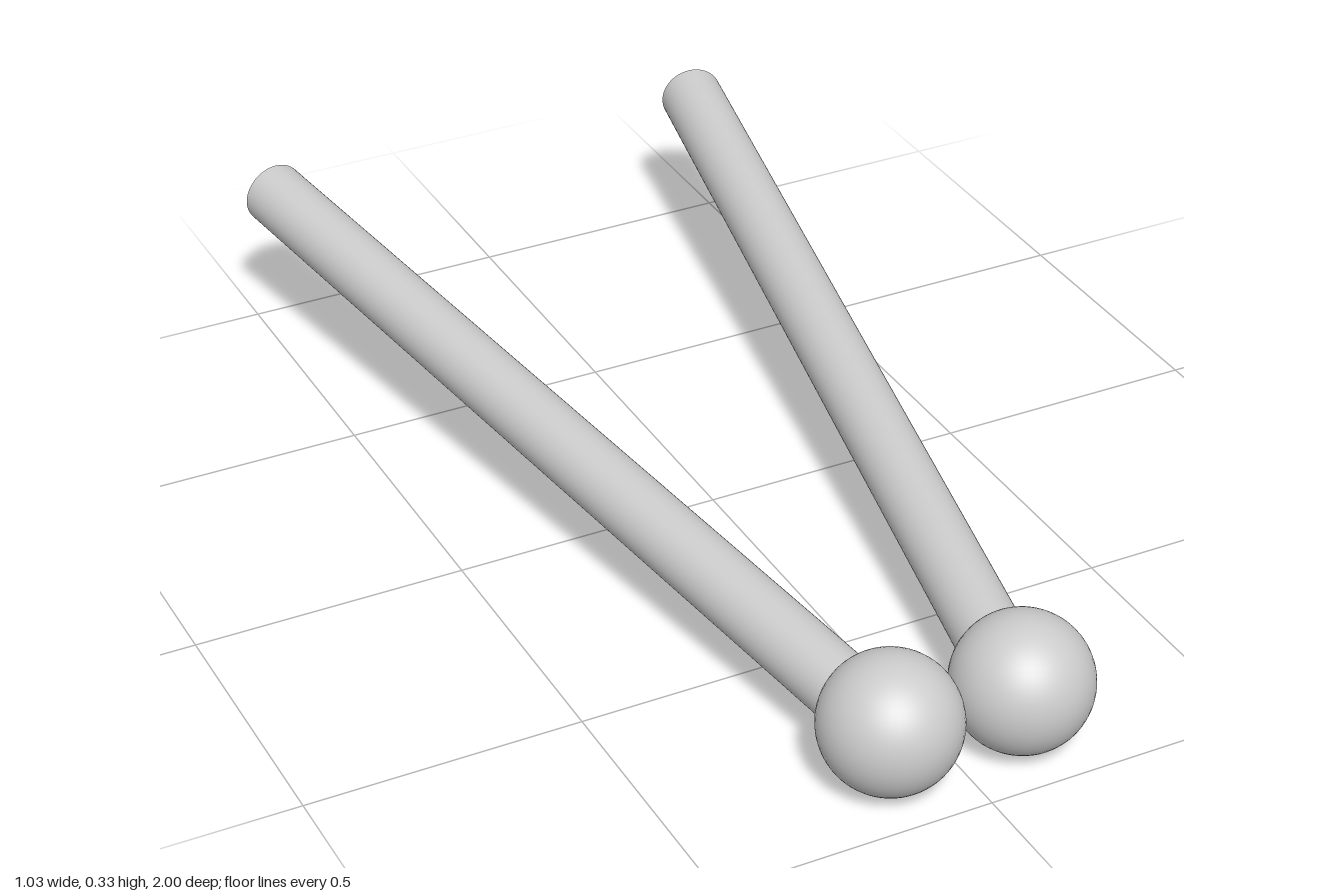
import * as THREE from 'three';

const material = new THREE.MeshStandardMaterial({ color: 0xcccccc });
const BALL_RADIUS = 0.123;
const ROD_RADIUS = 0.061;

// Cylinder running between two points
function rodBetween(start, end, radius) {
  const axis = end.clone().sub(start);
  const mesh = new THREE.Mesh(new THREE.CylinderGeometry(radius, radius, axis.length(), 48), material);
  mesh.position.copy(start).add(end).multiplyScalar(0.5);
  mesh.quaternion.setFromUnitVectors(new THREE.Vector3(0, 1, 0), axis.normalize());
  return mesh;
}

// One stick: a ball at the front and a rod rising outward to the back
function createStick(side) {
  const stick = new THREE.Group();
  stick.name = side > 0 ? 'leftStick' : 'rightStick';

  const ball = new THREE.Mesh(new THREE.SphereGeometry(BALL_RADIUS, 48, 32), material);
  ball.name = 'ball';
  ball.position.set(side * 0.124, BALL_RADIUS, 0.877);

  const rod = rodBetween(
    new THREE.Vector3(side * 0.126, 0.106, 0.85),
    new THREE.Vector3(side * 0.453, 0.267, -0.988),
    ROD_RADIUS
  );
  rod.name = 'rod';

  stick.add(ball, rod);
  return stick;
}

export function createModel() {
  const model = new THREE.Group();
  model.name = 'pairOfBallEndedSticks';
  for (const side of [1, -1]) model.add(createStick(side));
  return model;
}
